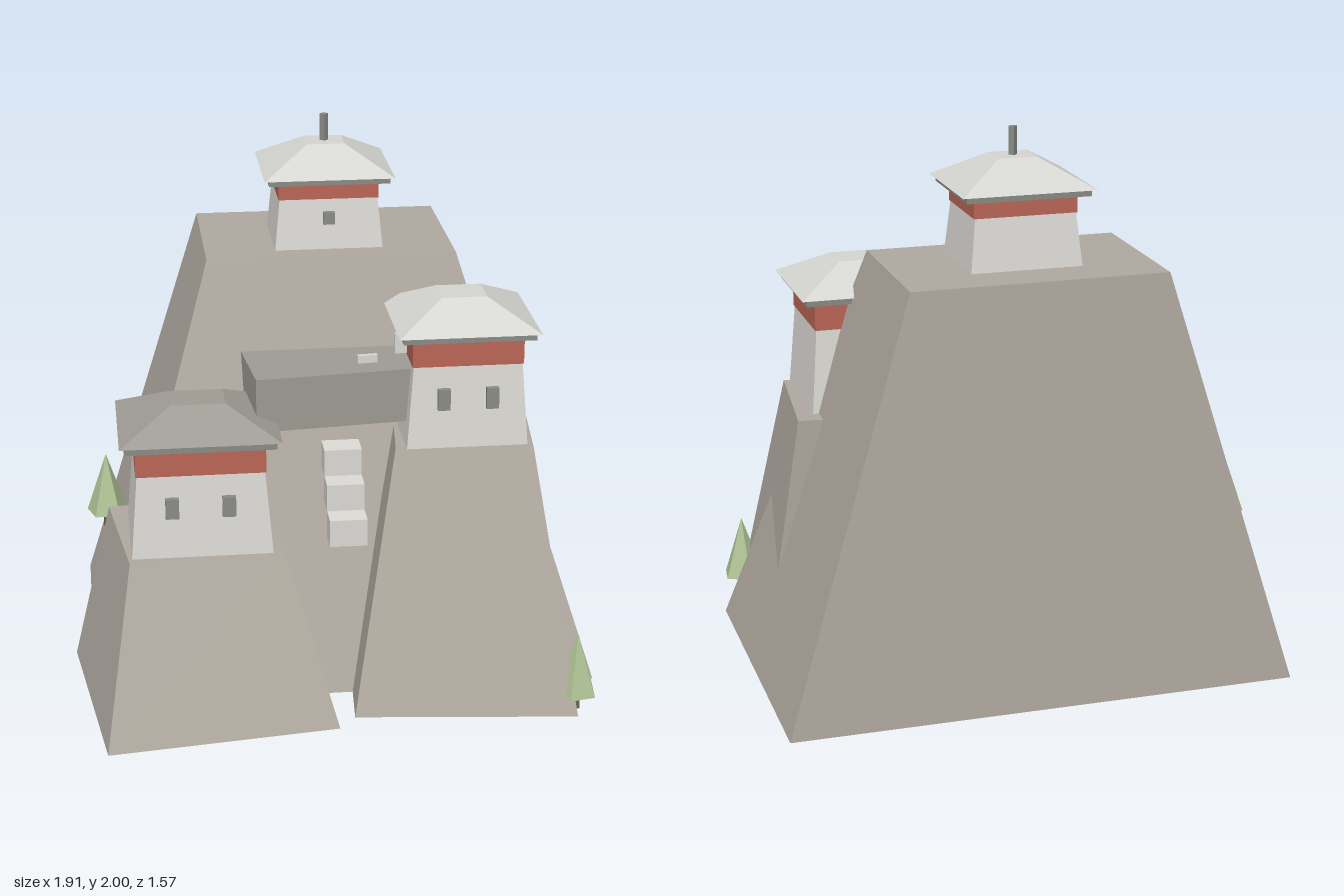
import * as THREE from 'three';

const mat = (name, color) => {
  const m = new THREE.MeshStandardMaterial({ color, flatShading: true });
  m.name = name;
  return m;
};

export function createModel() {
  const model = new THREE.Group();
  model.name = 'cliffFortress';
  const rock = mat('rock', 0xb0a9a0);
  const white = mat('whitewash', 0xdddbd6);
  const red = mat('redBand', 0xbc6757);
  const paleRoof = mat('paleRoof', 0xd5d5d1);
  const greyRoof = mat('greyRoof', 0x9f9c94);
  const trim = mat('trim', 0x8b8b86);
  const leaf = mat('leaf', 0xaec294);
  const bark = mat('bark', 0x6e6152);

  const add = (name, geo, material, x = 0, y = 0, z = 0, parent = model) => {
    const mesh = new THREE.Mesh(geo, material);
    mesh.name = name;
    mesh.position.set(x, y, z);
    parent.add(mesh);
    return mesh;
  };
  const box = (w, h, d) => new THREE.BoxGeometry(w, h, d);

  // Solid between two quads of [x, z], listed front left, front right, back right, back left
  const loft = (bottom, top, y0, y1) => {
    const b = bottom.map(([x, z]) => [x, y0, z]);
    const t = top.map(([x, z]) => [x, y1, z]);
    const tris = [t[0], t[1], t[2], t[0], t[2], t[3], b[0], b[2], b[1], b[0], b[3], b[2]];
    for (let i = 0; i < 4; i++) {
      const j = (i + 1) % 4;
      tris.push(b[i], b[j], t[j], b[i], t[j], t[i]);
    }
    const geo = new THREE.BufferGeometry();
    geo.setAttribute('position', new THREE.Float32BufferAttribute(tris.flat(), 3));
    geo.computeVertexNormals();
    return geo;
  };
  const rect = (w, d, x = 0, z = 0) => [
    [x - w / 2, z + d / 2], [x + w / 2, z + d / 2], [x + w / 2, z - d / 2], [x - w / 2, z - d / 2],
  ];

  // Rock masses
  add('mainCliff', loft(rect(1.85, 1.205, 0.03, -0.185), rect(0.92, 0.6, 0.03, -0.39), 0, 1.53), rock);
  add('rightCrag', loft(
    [[-0.86, 0.785], [-0.027, 0.685], [-0.125, -0.115], [-0.96, -0.015]],
    [[-0.757, 0.505], [-0.203, 0.44], [-0.262, -0.07], [-0.817, -0.005]], 0, 0.605), rock);
  add('leftCrag', loft(
    [[0.036, 0.61], [0.84, 0.695], [0.9, -0.1], [0.096, -0.18]],
    [[0.215, 0.32], [0.71, 0.37], [0.762, -0.13], [0.267, -0.18]], 0, 0.93), rock);

  // Towers: tapered walls, red band, eave, hipped roof and projecting windows
  const tower = (o) => {
    const g = new THREE.Group();
    g.name = o.name;
    g.position.set(o.x, 0, o.z);
    model.add(g);
    const [y0, y1, y2, y3, y4] = o.levels;
    const [bw, bd] = o.band;
    add('walls', loft(rect(...o.foot), rect(bw - 0.008, bd - 0.008), y0, y1), white, 0, 0, 0, g);
    add('band', box(bw, y2 - y1, bd), red, 0, (y1 + y2) / 2, 0, g);
    add('eave', box(o.roof[0] - 0.035, y3 - y2, o.roof[1] - 0.035), trim, 0, (y2 + y3) / 2, 0, g);
    add('roof', loft(rect(...o.roof), rect(...o.ridge), y3, y4), o.roofMat, 0, 0, 0, g);
    const [ww, wh, wy] = o.window;
    for (const wx of o.windowX) {
      add('window', box(ww, wh, 0.04), trim, wx, wy, bd / 2 + 0.004, g);
    }
    return g;
  };
  const summit = tower({
    name: 'summitTower', x: 0.03, z: -0.35, levels: [1.53, 1.717, 1.78, 1.803, 1.9],
    foot: [0.4, 0.345], band: [0.37, 0.313], roof: [0.48, 0.43], ridge: [0.14, 0.125],
    roofMat: paleRoof, window: [0.042, 0.045, 1.648], windowX: [0],
  });
  add('pole', new THREE.CylinderGeometry(0.016, 0.016, 0.11, 4), trim, 0, 1.945, 0, summit);
  tower({
    name: 'rightTower', x: -0.495, z: 0.258, levels: [0.605, 0.91, 1.01, 1.038, 1.132],
    foot: [0.505, 0.42], band: [0.462, 0.38], roof: [0.572, 0.485], ridge: [0.195, 0.145],
    roofMat: greyRoof, window: [0.048, 0.075, 0.793], windowX: [-0.105, 0.097],
  });
  tower({
    name: 'leftTower', x: 0.473, z: 0.138, levels: [0.93, 1.235, 1.335, 1.36, 1.455],
    foot: [0.44, 0.405], band: [0.402, 0.372], roof: [0.512, 0.48], ridge: [0.165, 0.145],
    roofMat: paleRoof, window: [0.045, 0.078, 1.115], windowX: [-0.088, 0.088],
  });

  // Covered gallery between the towers, set at a slight turn
  add('gallery', loft(
    [[-0.287, 0.32], [0.4, 0.253], [0.366, -0.097], [-0.321, -0.03]],
    [[-0.287, 0.32], [0.4, 0.253], [0.366, -0.097], [-0.321, -0.03]], 1.01, 1.21), greyRoof);

  // Front steps up the cliff
  for (let i = 0; i < 3; i++) {
    add('frontStep', box(0.136, 0.102, 0.1), white, 0.03, 0.658 + i * 0.1, 0.397 - i * 0.088);
  }
  // Thin steps showing above the gallery
  for (let i = 0; i < 2; i++) {
    const step = add('galleryStep', box(0.072, 0.075, 0.016), white, 0.128 + i * 0.135, 1.202 + i * 0.075, 0.18 - i * 0.01);
    step.rotation.y = 0.1;
  }

  // Conifers
  const tree = (x, y, z, turn) => {
    const g = new THREE.Group();
    g.name = 'tree';
    g.position.set(x, y, z);
    g.rotation.y = turn;
    model.add(g);
    add('trunk', new THREE.CylinderGeometry(0.013, 0.018, 0.07, 5), bark, 0, 0.035, 0, g);
    add('foliage', new THREE.ConeGeometry(0.08, 0.235, 5), leaf, 0, 0.18, 0, g);
  };
  tree(-0.82, 0.41, -0.275, Math.PI);
  tree(0.845, 0, 0.622, Math.PI + 0.2);

  return model;
}
